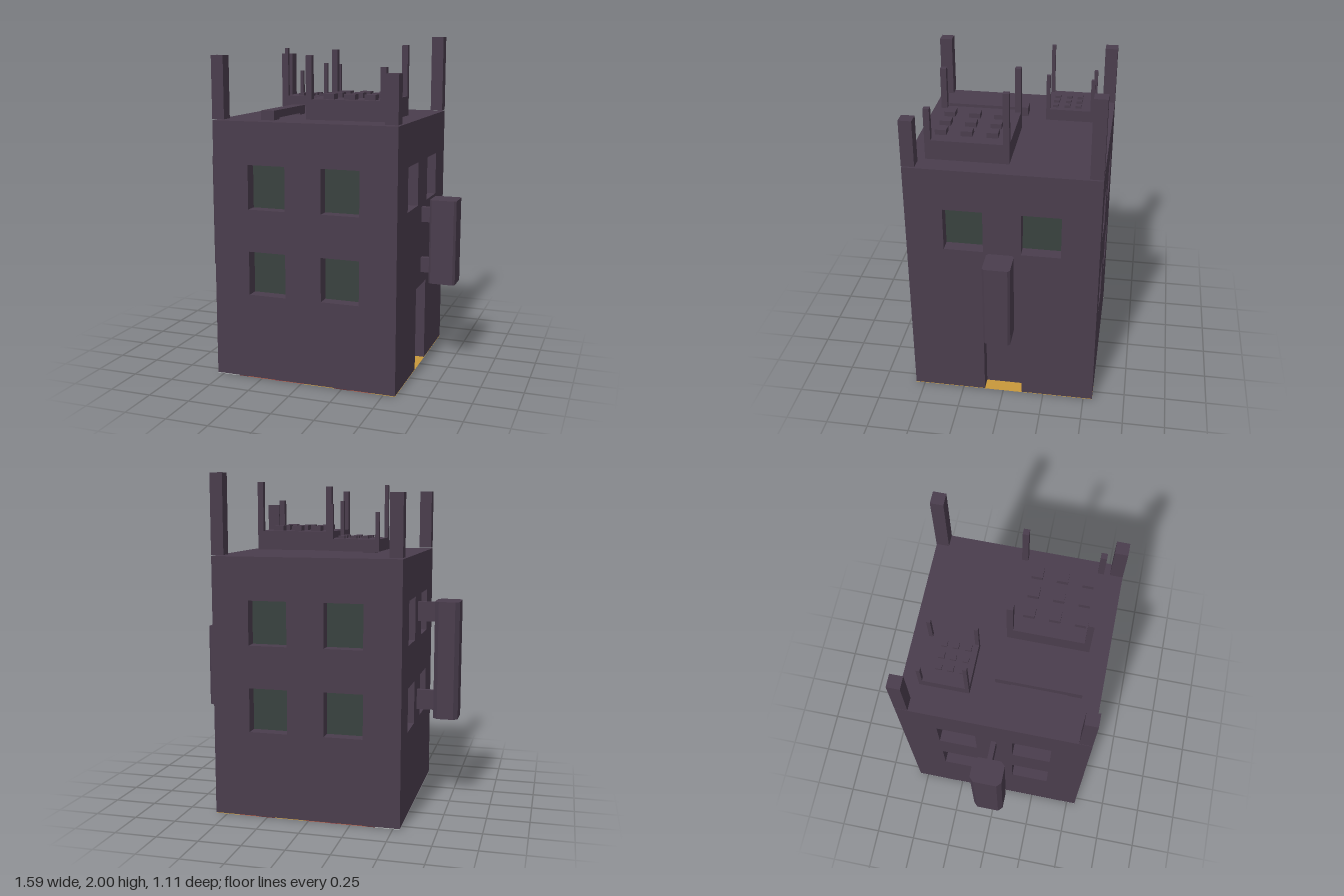
import * as THREE from 'three';

const mat = (name, color) => Object.assign(new THREE.MeshStandardMaterial({ color }), { name });

export function createModel() {
  const model = new THREE.Group();
  model.name = 'towerBlock';
  const wallMat = mat('dusky purple', 0x4a3d4d);
  const glassMat = mat('dark green glass', 0x39423f);
  const ochre = mat('ochre', 0xc8983a);
  const rust = mat('rust', 0xb4543a);
  const crimson = mat('crimson', 0x943436);
  const maroon = mat('maroon', 0x602a2a);
  const grey = mat('pale grey', 0xb8bebc);
  for (const m of [ochre, rust, crimson, maroon, grey]) m.side = THREE.DoubleSide;

  const add = (parent, name, geo, material) => {
    const mesh = new THREE.Mesh(geo, material);
    mesh.name = name;
    parent.add(mesh);
    return mesh;
  };
  // Box given by its extents
  const box = (parent, name, x0, x1, y0, y1, z0, z1, material = wallMat) => {
    const mesh = add(parent, name, new THREE.BoxGeometry(x1 - x0, y1 - y0, z1 - z0), material);
    mesh.position.set((x0 + x1) / 2, (y0 + y1) / 2, (z0 + z1) / 2);
    return mesh;
  };
  const rect = (P, x0, x1, y0, y1) => {
    const p = new P();
    p.moveTo(x0, y0);
    p.lineTo(x1, y0);
    p.lineTo(x1, y1);
    p.lineTo(x0, y1);
    p.closePath();
    return p;
  };

  // Main block: a core with four pierced walls around it
  const X0 = -0.54, X1 = 0.57, Z = 0.555, H = 1.53, D = 0.08, B = 0.003;
  const cx = (X0 + X1) / 2;
  box(model, 'core', X0 + D, X1 - D, B, H, -Z + D, Z - D);

  // Wall drawn facing +z, its outer surface at distance Z from the block's axis
  const wall = (name, angle, half, rows, door) => {
    const group = new THREE.Group();
    group.name = name;
    group.position.x = cx;
    group.rotation.y = angle;
    model.add(group);
    let shape = rect(THREE.Shape, -half, half, B, H);
    if (door) {
      shape = new THREE.Shape([[-half, B], [-0.115, B], [-0.115, 0.51], [0.115, 0.51], [0.115, B],
        [half, B], [half, H], [-half, H]].map(p => new THREE.Vector2(...p)));
    }
    for (const y of rows) {
      for (const s of [-1, 1]) {
        const x = s * 0.223;
        shape.holes.push(rect(THREE.Path, x - 0.114, x + 0.114, y, y + 0.26));
        box(group, 'windowGlass', x - 0.114, x + 0.114, y, y + 0.26, Z - D, Z - D + 0.004, glassMat);
      }
    }
    const geo = new THREE.ExtrudeGeometry(shape, { depth: D, bevelEnabled: false });
    add(group, 'wallPanel', geo, wallMat).position.z = Z - D;
  };
  wall('frontWall', 0, Z, [0.51, 1.02]);
  wall('backWall', Math.PI, Z, [0.51, 1.02]);
  wall('leftWall', Math.PI / 2, Z - D, [1.02], true);
  wall('rightWall', -Math.PI / 2, Z - D, [0.51, 1.02]);

  // Striped floor, seen from below and in the doorway
  const stripes = [[ochre, 0.13], [rust, 0.24], [maroon, 0.33], [ochre, 0.5], [rust, 0.62],
    [crimson, 0.67], [rust, 0.82], [maroon, 0.87], [grey, 1]];
  let from = 0;
  for (const [m, to] of stripes) {
    const w = X1 - X0;
    const strip = add(model, 'floorStripe', new THREE.PlaneGeometry((to - from) * w, 2 * Z), m);
    strip.rotation.x = -Math.PI / 2;
    strip.position.x = X1 - (from + to) / 2 * w;
    from = to;
  }

  // Corner posts of uneven height
  const P = 0.075, base = 1.537;
  box(model, 'cornerPost', X0, X0 + P, base, 1.9, Z - P, Z);
  box(model, 'cornerPost', X1 - P, X1, base, 1.81, Z - P, Z);
  box(model, 'cornerPost', X0, X0 + P, base, 1.89, -Z, -Z + P);
  box(model, 'cornerPost', X1 - P, X1, base, 2, -Z, -Z + P);

  // Roof unit: slab, nine studs and four thin posts (heights: back pair, front pair)
  const roofUnit = (name, x0, x1, y0, y1, z0, z1, post, stud, xs, zs, studTop, heights) => {
    const g = new THREE.Group();
    g.name = name;
    model.add(g);
    box(g, 'slab', x0, x1, y0, y1, z0, z1);
    for (const x of xs) {
      for (const z of zs) {
        box(g, 'stud', x - stud / 2, x + stud / 2, y1, studTop, z - stud / 2, z + stud / 2);
      }
    }
    heights.forEach((h, i) => {
      const px = i % 2 ? x1 - post : x0, pz = i < 2 ? z0 : z1 - post;
      box(g, 'thinPost', px, px + post, y1, h, pz, pz + post);
    });
  };
  roofUnit('largeRoofUnit', -0.005, 0.468, 1.54, 1.655, -0.03, 0.443, 0.035, 0.064,
    [0.117, 0.24, 0.36], [0.077, 0.222, 0.368], 1.685, [1.925, 1.955, 1.9, 1.84]);
  roofUnit('smallRoofUnit', -0.385, -0.098, 1.562, 1.63, -0.447, -0.163, 0.022, 0.034,
    [-0.288, -0.22, -0.15], [-0.352, -0.286, -0.215], 1.645, [1.78, 1.825, 1.93, 1.84]);

  // Low roof beam on two feet
  box(model, 'roofBeam', -0.28, -0.2, 1.54, 1.585, -0.04, 0.45);
  box(model, 'beamFoot', -0.28, -0.2, H, 1.54, 0.37, 0.45);
  box(model, 'beamFoot', -0.28, -0.2, H, 1.54, -0.04, 0.05);

  // Hanging side boxes with chamfered upright edges
  const sideBox = (name, x0, x1, y0, y1, z0, z1, c) => {
    const pts = [[x0 + c, z0], [x1 - c, z0], [x1, z0 + c], [x1, z1 - c],
      [x1 - c, z1], [x0 + c, z1], [x0, z1 - c], [x0, z0 + c]];
    const shape = new THREE.Shape(pts.map(([x, z]) => new THREE.Vector2(x, -z)));
    const geo = new THREE.ExtrudeGeometry(shape, { depth: y1 - y0, bevelEnabled: false });
    geo.rotateX(-Math.PI / 2);
    add(model, name, geo, wallMat).position.y = y0;
  };
  sideBox('leftSideBox', 0.633, 0.793, 0.543, 1.052, -0.08, 0.077, 0.013);
  sideBox('rightSideBox', -0.798, -0.65, 0.54, 1.25, -0.093, 0.093, 0.025);
  for (const [y0, y1] of [[0.593, 0.683], [0.905, 0.995]]) {
    box(model, 'leftBracket', X1, 0.634, y0, y1, -0.02, 0.016);
  }
  for (const [y0, y1] of [[0.577, 0.698], [1.122, 1.24]]) {
    box(model, 'rightBracket', -0.651, X0, y0, y1, -0.016, 0.014);
  }
  return model;
}
